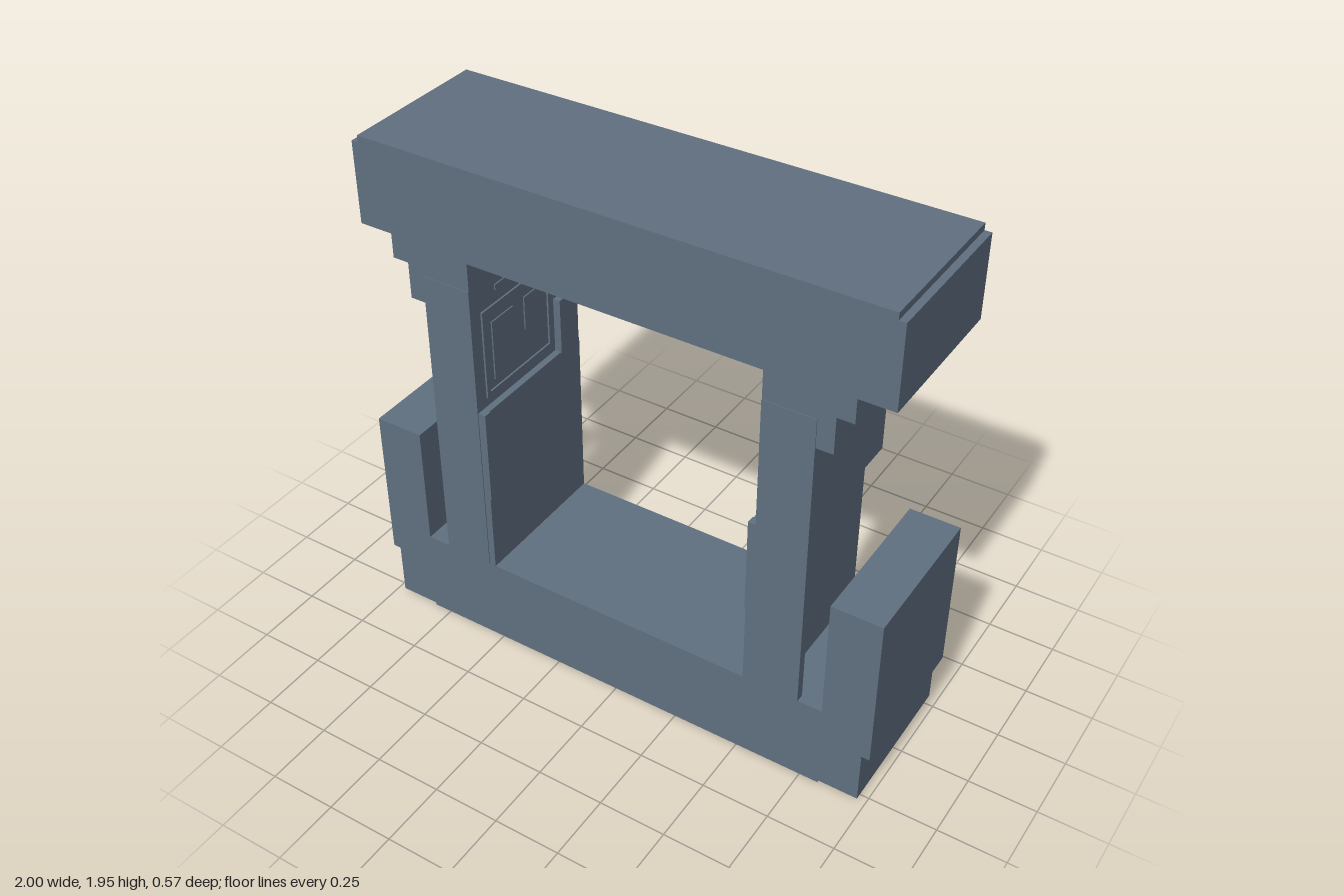
import * as THREE from 'three';

const slate = new THREE.MeshStandardMaterial({ color: 0x607080 });
slate.name = 'slate';

function box(group, name, x0, x1, y0, y1, z0, z1) {
  const mesh = new THREE.Mesh(new THREE.BoxGeometry(x1 - x0, y1 - y0, z1 - z0), slate);
  mesh.position.set((x0 + x1) / 2, (y0 + y1) / 2, (z0 + z1) / 2);
  mesh.name = name;
  group.add(mesh);
}

// The same box on both sides of the x axis
function pair(group, name, x0, x1, ...rest) {
  box(group, name + 'Left', x0, x1, ...rest);
  box(group, name + 'Right', -x1, -x0, ...rest);
}

// Gate outline with a window; the pillar widths differ between front and body
function frame(name, upperX, lowerX, z0, z1) {
  const half = [
    [0.82, 0], [0.82, 0.01], [0.97, 0.01], [0.97, 0.215], [1, 0.215], [1, 0.81],
    [0.815, 0.81], [0.815, 0.34], [lowerX, 0.34], [lowerX, 1.015], [upperX, 1.015],
    [upperX, 1.395], [0.785, 1.395], [0.785, 1.53], [0.845, 1.53], [0.845, 1.62],
    [0.97, 1.62], [0.97, 1.92], [0.945, 1.92], [0.945, 1.945],
  ];
  const opening = [[0.515, 0.34], [0.515, 1.015], [0.54, 1.015], [0.54, 1.605]];
  const loop = (pts) => [...pts, ...pts.map(([x, y]) => [-x, y]).reverse()]
    .map(([x, y]) => new THREE.Vector2(x, y));
  const shape = new THREE.Shape(loop(half));
  shape.holes.push(new THREE.Path(loop(opening)));
  const geometry = new THREE.ExtrudeGeometry(shape, { depth: z1 - z0, bevelEnabled: false });
  geometry.translate(0, 0, z0);
  const mesh = new THREE.Mesh(geometry, slate);
  mesh.name = name;
  return mesh;
}

export function createModel() {
  const model = new THREE.Group();
  model.name = 'gateFrame';

  // Main frame with slimmer pillars behind a front flange
  model.add(frame('frameBody', 0.695, 0.64, -0.283, 0.25));
  model.add(frame('frontFlange', 0.725, 0.725, 0.25, 0.28));
  pair(model, 'pillarFacing', 0.54, 0.725, 0.34, 1.5, 0.28, 0.283);

  // Cross bar running through the head, with its ends showing outside
  box(model, 'crossBar', -0.865, 0.865, 1.495, 1.62, -0.265, -0.165);
  for (const x of [-0.23, 0.23]) {
    box(model, 'barClip', x - 0.025, x + 0.025, 1.489, 1.496, -0.25, -0.18);
  }

  // Ceiling plates
  box(model, 'ceilingPlate', -0.45, 0.45, 1.594, 1.606, -0.12, 0.2);
  box(model, 'ceilingPanel', -0.38, 0.38, 1.588, 1.595, -0.08, 0.14);

  // Upright tabs and framed panels on the inner walls
  pair(model, 'guideTab', 0.512, 0.542, 1.01, 1.23, -0.275, -0.17);
  const panel = new THREE.Group();
  panel.name = 'innerPanels';
  model.add(panel);
  for (const y of [1.05, 1.375]) pair(panel, 'panelRail', 0.533, 0.541, y, y + 0.018, -0.15, 0.23);
  for (const z of [-0.15, 0.212]) pair(panel, 'panelPost', 0.533, 0.541, 1.05, 1.393, z, z + 0.018);
  pair(panel, 'panelRelief', 0.535, 0.541, 1.1, 1.33, 0.06, 0.18);
  pair(panel, 'panelRelief', 0.535, 0.541, 1.2, 1.33, -0.1, 0);
  pair(panel, 'wallSlot', 0.535, 0.541, 1.44, 1.46, -0.1, 0.15);
  pair(model, 'lowerWallStrip', 0.511, 0.516, 0.65, 1.015, 0.25, 0.28);

  return model;
}
